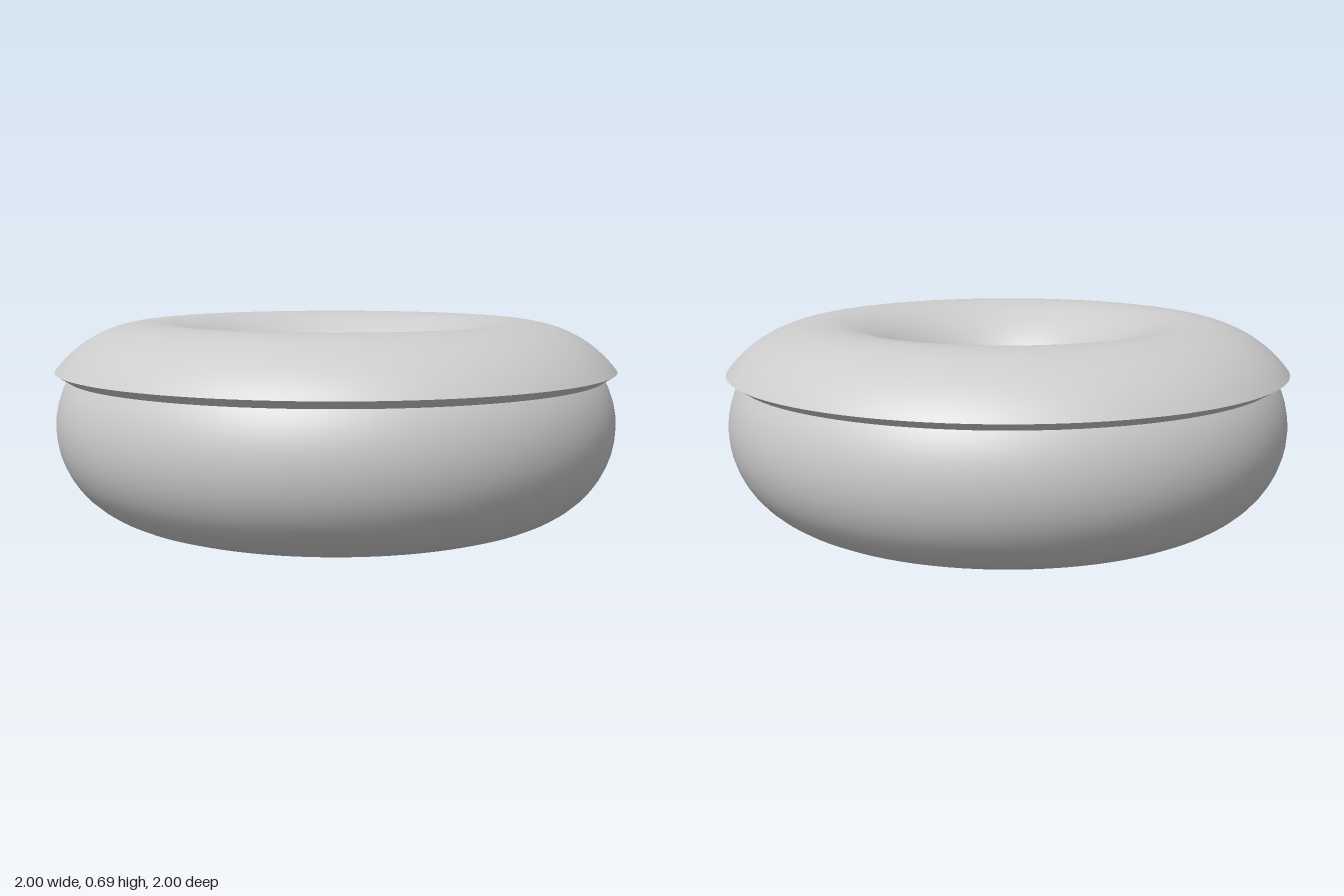
import * as THREE from 'three';

const TUBE = 0.333, RING = 0.666, SEGMENTS = 96;

// Points on a circular arc, given in the ring's cross-section
function arc(cx, cy, r, from, to, steps) {
  return Array.from({ length: steps + 1 }, (_, i) => {
    const a = from + (to - from) * i / steps;
    return new THREE.Vector2(cx + r * Math.cos(a), cy + r * Math.sin(a));
  });
}

export function createModel() {
  const group = new THREE.Group();
  const dough = new THREE.MeshStandardMaterial({ color: 0xcccccc });
  dough.name = 'pale grey';

  function add(name, geometry) {
    const mesh = new THREE.Mesh(geometry, dough);
    mesh.name = name;
    group.add(mesh);
    return mesh;
  }

  // Round ring body
  const body = add('ringBody', new THREE.TorusGeometry(RING, TUBE, 48, SEGMENTS));
  body.rotation.x = Math.PI / 2;
  body.position.y = TUBE;

  // Domed topping that overhangs the body on both sides
  const rimY = 0.525, rise = 0.167;
  const radius = (TUBE * TUBE + rise * rise) / (2 * rise);
  const half = Math.asin(TUBE / radius);
  const dome = arc(RING, rimY + rise - radius, radius, Math.PI / 2 - half, Math.PI / 2 + half, 32);
  add('toppingDome', new THREE.LatheGeometry(dome, SEGMENTS));

  // Sloping underside of the overhang, outer and inner, with a sharp rim
  const lip = (name, points) =>
    add(name, new THREE.LatheGeometry(points.map(([x, y]) => new THREE.Vector2(x, y)), SEGMENTS));
  lip('outerLip', [[RING + 0.27, 0.485], [RING + TUBE, rimY]]);
  lip('innerLip', [[RING - TUBE, rimY], [RING - 0.27, 0.485]]);

  return group;
}
